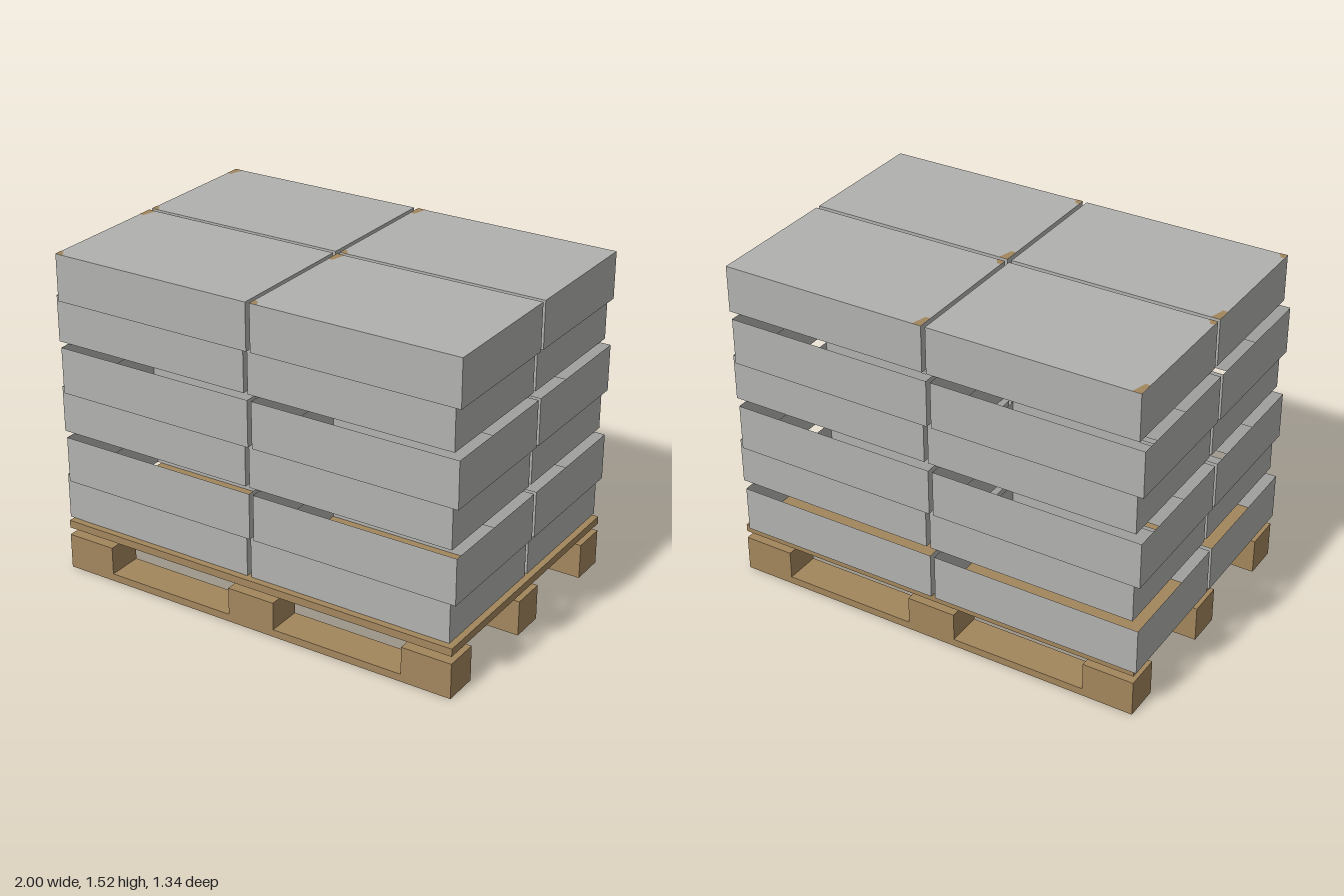
import * as THREE from 'three';

// Cartons are open shells, seen from inside as well
const grey = new THREE.MeshStandardMaterial({ color: 0xb1b1af, side: THREE.DoubleSide });
grey.name = 'carton grey';
const wood = new THREE.MeshStandardMaterial({ color: 0xa3865d });
wood.name = 'pallet wood';

// Box given by its minimum and maximum corners
function block(name, material, min, max) {
  const size = max.map((v, i) => v - min[i]);
  const mesh = new THREE.Mesh(new THREE.BoxGeometry(...size), material);
  mesh.position.set(...max.map((v, i) => (v + min[i]) / 2));
  mesh.name = name;
  return mesh;
}

// Carton shell: four upright sides, open below, with or without a lid
function carton(min, max, lidded) {
  const mesh = block('carton', grey, min, max);
  const index = Array.from(mesh.geometry.index.array);
  // Side order is +x, -x, +y, -y, +z, -z with six indices each
  if (lidded) index.splice(18, 6);
  else index.splice(12, 12);
  mesh.geometry.setIndex(index);
  mesh.geometry.clearGroups();
  return mesh;
}

// Three skids, each a bottom runner carrying three feet, below a solid deck
function createPallet() {
  const pallet = new THREE.Group();
  pallet.name = 'pallet';
  const profile = new THREE.Shape([
    [-0.98, 0], [0.98, 0], [0.98, 0.165], [0.745, 0.165], [0.745, 0.035],
    [0.115, 0.035], [0.115, 0.165], [-0.115, 0.165], [-0.115, 0.035],
    [-0.745, 0.035], [-0.745, 0.165], [-0.98, 0.165],
  ].map(([x, y]) => new THREE.Vector2(x, y)));
  const geometry = new THREE.ExtrudeGeometry(profile, { depth: 0.165, bevelEnabled: false });
  geometry.translate(0, 0, -0.0825);
  for (const z of [-0.573, 0, 0.573]) {
    const skid = new THREE.Mesh(geometry, wood);
    skid.position.z = z;
    skid.name = 'skid';
    pallet.add(skid);
  }
  pallet.add(block('deck', wood, [-0.98, 0.2, -0.655], [0.98, 0.236, 0.655]));
  return pallet;
}

// Small flat patch lying on a carton top, outlined by [x, z] offsets
function cornerPatch(x, y, z, outline) {
  const shape = new THREE.Shape(outline.map(([px, pz]) => new THREE.Vector2(px, -pz)));
  const patch = new THREE.Mesh(new THREE.ShapeGeometry(shape).rotateX(-Math.PI / 2), wood);
  patch.position.set(x, y + 0.001, z);
  patch.name = 'cornerPatch';
  return patch;
}

export function createModel() {
  const model = new THREE.Group();
  model.name = 'loadedPallet';
  model.add(createPallet());

  // Six layers of four cartons, shifted alternately towards opposite corners
  const width = 0.965, depth = 0.638, height = 0.2135, gap = 0.02, layers = 6;
  for (let layer = 0; layer < layers; layer++) {
    const side = layer % 2 ? 1 : -1;
    const lidded = layer === layers - 1;
    const group = new THREE.Group();
    group.name = 'cartonLayer';
    const y = 0.236 + layer * height, top = y + height;
    for (const i of [-1, 0]) {
      for (const j of [-1, 0]) {
        const x = side * 0.025 + (i ? -width - gap / 2 : gap / 2);
        const z = side * 0.024 + (j ? -depth - gap / 2 : gap / 2);
        group.add(carton([x, y, z], [x + width, top, z + depth], lidded));
        // Wood-coloured corners on the lids
        if (lidded) {
          group.add(
            cornerPatch(x, top, z, [[0, 0], [0, 0.07], [0.022, 0.07], [0.04, 0]]),
            cornerPatch(x, top, z + depth, [[0, -0.033], [0, 0], [0.038, 0], [0.018, -0.033]]),
          );
        }
      }
    }
    model.add(group);
  }
  return model;
}
